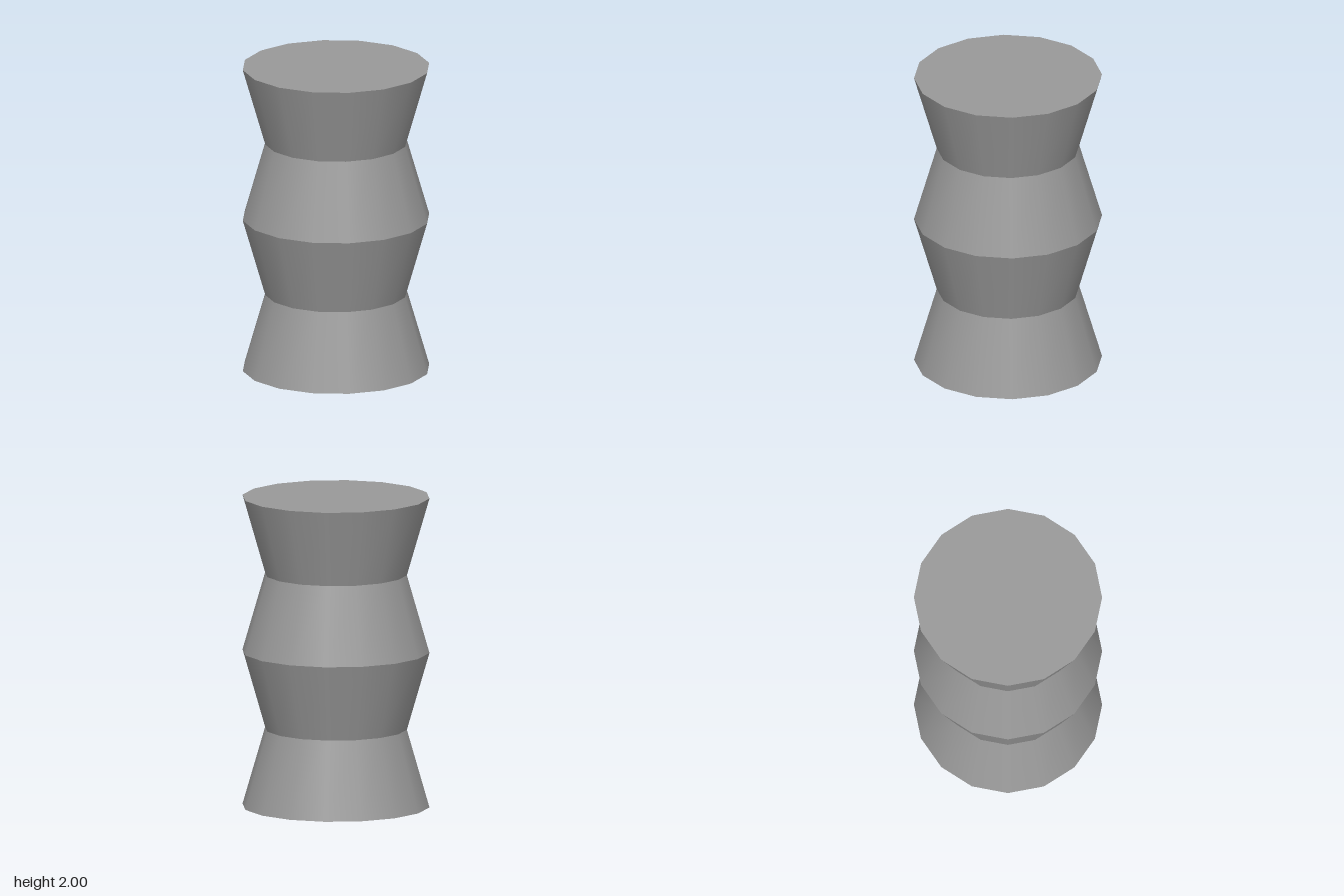
import * as THREE from 'three';

const SIDES = 16, WIDE = 0.6, WAIST = 0.455, BAND = 0.5;

export function createModel() {
  const model = new THREE.Group();
  model.name = 'pinchedColumn';
  const grey = new THREE.MeshStandardMaterial({ color: 0x999999 });
  grey.name = 'grey';

  // four tapered bands, alternately narrowing and widening
  for (let i = 0; i < 4; i++) {
    const narrowing = i % 2 === 0;
    const geometry = new THREE.CylinderGeometry(
      narrowing ? WAIST : WIDE, narrowing ? WIDE : WAIST, BAND, SIDES, 1, true);
    const band = new THREE.Mesh(geometry, grey);
    band.name = `band${i + 1}`;
    band.position.y = (i + 0.5) * BAND;
    model.add(band);
  }

  // flat end caps
  for (const [name, y, tilt] of [['topCap', 2, -1], ['bottomCap', 0, 1]]) {
    const cap = new THREE.Mesh(new THREE.CircleGeometry(WIDE, SIDES), grey);
    cap.name = name;
    cap.rotation.x = tilt * Math.PI / 2;
    cap.position.y = y;
    model.add(cap);
  }
  return model;
}
